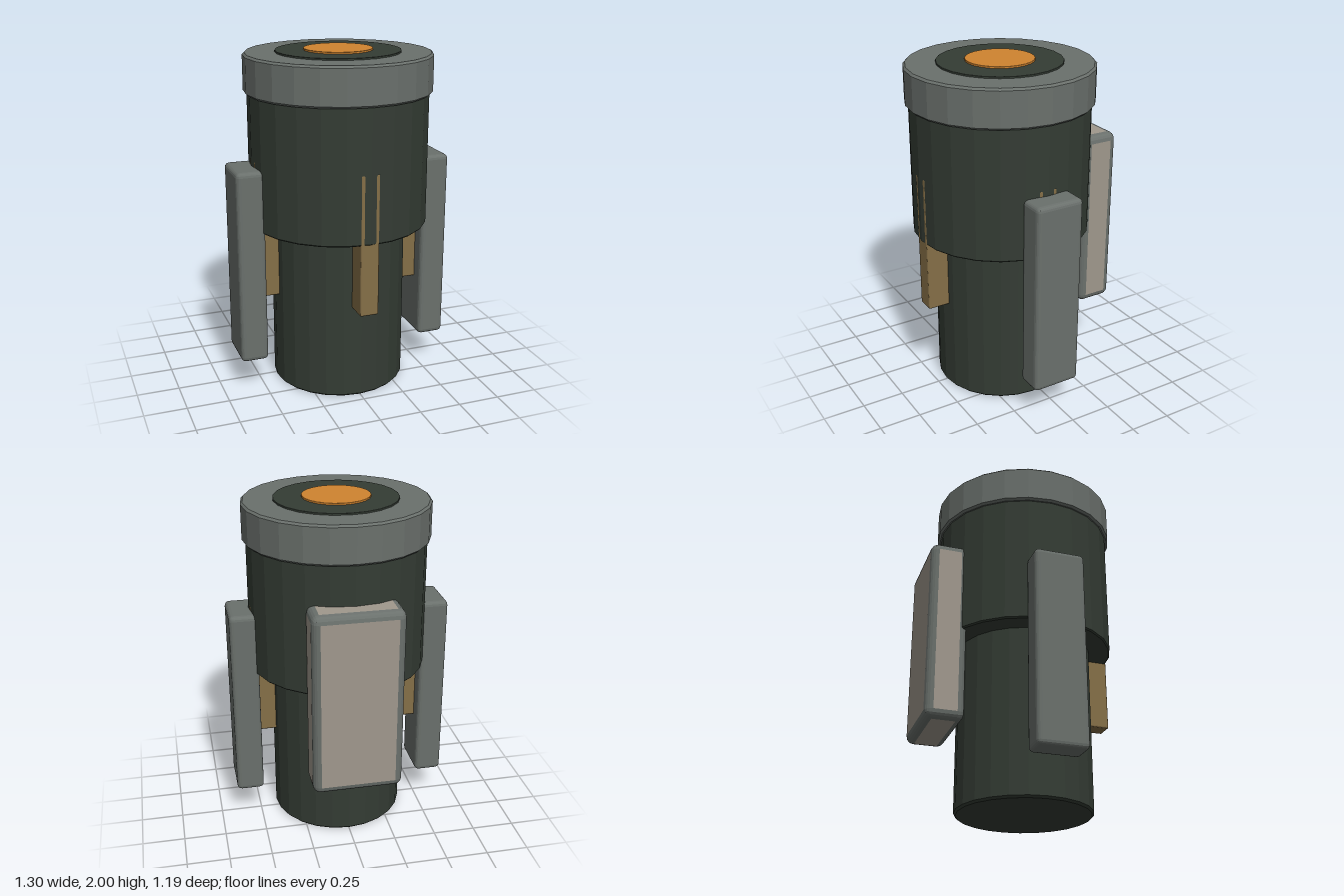
import * as THREE from 'three';
import { RoundedBoxGeometry } from 'three/addons/geometries/RoundedBoxGeometry.js';

const CZ = 0.05; // z of the body axis
const SIDES = 24;

function material(name, color) {
  const m = new THREE.MeshStandardMaterial({ color, flatShading: true });
  m.name = name;
  return m;
}

// Closed faceted drum with bevelled rims
function drum(radius, y0, y1, bevel) {
  const profile = [
    [0, y0], [radius - bevel, y0], [radius, y0 + bevel],
    [radius, y1 - bevel], [radius - bevel, y1], [0, y1],
  ].map(([r, y]) => new THREE.Vector2(r, y));
  return new THREE.LatheGeometry(profile, SIDES);
}

// Bevelled box given by its low and high corners
function block(lo, hi, bevel) {
  const s = hi.map((h, i) => h - lo[i]);
  const g = new RoundedBoxGeometry(s[0], s[1], s[2], 2, bevel);
  g.translate(...hi.map((h, i) => (h + lo[i]) / 2));
  g.clearGroups();
  return g;
}

// Flat faces get material 0, bevels get material 1
function splitFlatFaces(g) {
  const p = g.attributes.position;
  const t = new THREE.Triangle();
  const n = new THREE.Vector3();
  for (let i = 0; i < p.count; i += 3) {
    t.setFromAttributeAndIndices(p, i, i + 1, i + 2);
    t.getNormal(n);
    const flat = Math.max(Math.abs(n.x), Math.abs(n.y), Math.abs(n.z)) > 0.999;
    g.addGroup(i, 3, flat ? 0 : 1);
  }
  return g;
}

export function createModel() {
  const dark = material('dark green', 0x343c34);
  const grey = material('grey', 0x6a706c);
  const beige = material('beige', 0xa0988d);
  const tan = material('tan', 0x856f47);
  const orange = material('orange', 0xd08430);

  const model = new THREE.Group();
  model.name = 'canister';
  const add = (name, geometry, mat, z = 0) => {
    const mesh = new THREE.Mesh(geometry, mat);
    mesh.name = name;
    mesh.position.z = z;
    model.add(mesh);
    return mesh;
  };

  // Stacked body
  add('lowerBody', drum(0.396, 0, 1.05, 0.012), dark, CZ);
  add('upperBody', drum(0.523, 0.985, 1.78, 0.008), dark, CZ);
  add('cap', drum(0.543, 1.755, 1.98, 0.012), grey, CZ);

  // Lens discs on the cap
  add('lensRing', drum(0.36, 1.975, 1.99, 0.001), dark, CZ);
  add('lens', drum(0.198, 1.985, 2.0, 0.001), orange, CZ);

  // Four ribs around the axis
  for (let i = 0; i < 4; i++) {
    const rib = add('rib', block([-0.055, 0.565, 0.34], [0.055, 1.39, 0.5185], 0.009), tan, CZ);
    rib.rotation.y = i * Math.PI / 2;
  }

  // Side panels
  add('leftPanel', block([0.487, 0.2, -0.095], [0.65, 1.355, 0.197], 0.027), grey);
  add('rightPanel', block([-0.65, 0.2, -0.095], [-0.487, 1.355, 0.197], 0.027), grey);

  // Back pack with grey edges
  add('backPack', splitFlatFaces(block([-0.26, 0.435, -0.595], [0.26, 1.525, -0.37], 0.045)), [beige, grey]);

  return model;
}
